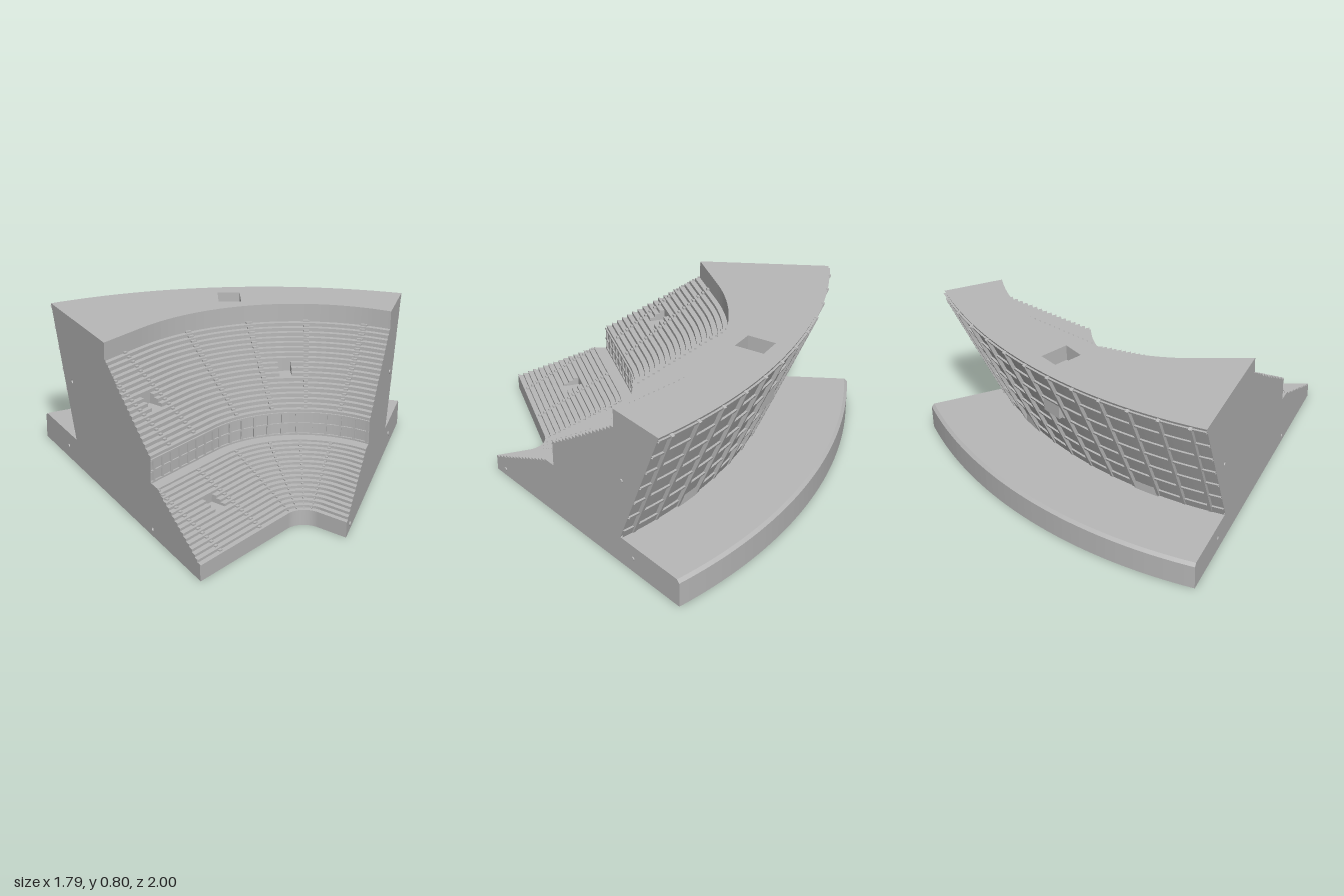
import * as THREE from 'three';

const concrete = new THREE.MeshStandardMaterial({ color: 0xb8b8b8, side: THREE.DoubleSide });
concrete.name = 'concrete grey';

// Plan layout: rows are offsets of a rounded corner, the outside is an arc cut by two end planes
const CX = 0.70, CZ = 0.435, R0 = 0.1;            // rounded corner of the seating
const OX = 0.89, OZ = 1.53;                       // centre of the outer arc
const S0 = -22.5, S1 = 67.5;                      // corner arc in degrees; beyond it 1 step = 0.01 straight
const rad = THREE.MathUtils.degToRad;
const clamp = THREE.MathUtils.clamp;
const endLeft = d => S1 + 100 * (0.905 - 0.541 * (R0 + d)) / 1.307;
function endRight(d) {
  const r = R0 + d, w = OX - CX;
  return r * 0.3827 > w ? -THREE.MathUtils.radToDeg(Math.asin(w / r)) : S0 - 100 * (w - 0.3827 * r) / 0.9239;
}
// Point at row offset d, position s along the row, height y
function point(d, s, y) {
  s = clamp(s, endRight(d), endLeft(d));
  const a = rad(clamp(s, S0, S1)), r = R0 + d, t = (s - clamp(s, S0, S1)) / 100;
  return new THREE.Vector3(CX - r * Math.sin(a) - t * Math.cos(a), y, CZ - r * Math.cos(a) + t * Math.sin(a));
}
const arcPoint = (R, deg, y) => new THREE.Vector3(OX - R * Math.sin(rad(deg)), y, OZ - R * Math.cos(rad(deg)));

// Collects four-sided faces into one mesh
function faces() {
  const pos = [];
  const tri = (...p) => {
    if (new THREE.Triangle(...p).getArea() > 1e-8) p.forEach(v => pos.push(v.x, v.y, v.z));
  };
  return {
    quad(a, b, c, d) { tri(a, b, c); tri(a, c, d); },
    mesh(name) {
      const g = new THREE.BufferGeometry();
      g.setAttribute('position', new THREE.Float32BufferAttribute(pos, 3));
      g.computeVertexNormals();
      return named(g, name);
    },
  };
}
function named(geometry, name) {
  const m = new THREE.Mesh(geometry, concrete);
  m.name = name;
  return m;
}
function columns(extra) {
  const c = [-999, 999];
  for (let s = S0; s <= S1; s += 2.5) c.push(s);
  return c.concat(extra).sort((a, b) => a - b);
}

// A tier of stepped rows with half-step aisles and sunken entrances
function tier(name, o) {
  const f = faces(), step = (o.d1 - o.d0) / o.rows, rise = (o.y1 - o.y0) / (o.rows - 1);
  const cols = columns([...o.aisles.flatMap(a => [a - 0.9, a + 0.9]), ...o.doors.flatMap(v => [v.s - v.w, v.s + v.w])]);
  const height = (i, s) => {
    if (i < 0) return o.base;
    if (i >= o.rows * 2) return o.top;
    const d = o.d0 + (i + 0.5) * step / 2, row = Math.floor(i / 2);
    const v = o.doors.find(v => Math.abs(s - v.s) < v.w && Math.abs(d - v.d) < 0.045);
    if (v) return o.y0 + rise * Math.floor((v.d - 0.045 - o.d0) / step);
    const aisle = i % 2 && o.aisles.some(a => Math.abs(s - a) < 0.9);
    return o.y0 + rise * (row + (aisle ? 0.5 : 0));
  };
  for (let j = 0; j < cols.length - 1; j++) {
    const a = cols[j], b = cols[j + 1], mid = (a + b) / 2;
    for (let i = 0; i <= o.rows * 2; i++) {
      const d = o.d0 + i * step / 2, e = d + step / 2, h = height(i, mid), p = height(i - 1, mid);
      if (h !== p) f.quad(point(d, a, p), point(d, a, h), point(d, b, h), point(d, b, p));
      if (i === o.rows * 2) continue;
      f.quad(point(d, a, h), point(e, a, h), point(e, b, h), point(d, b, h));
      const q = j ? height(i, (cols[j - 1] + a) / 2) : h;
      if (q !== h) f.quad(point(d, a, q), point(e, a, q), point(e, a, h), point(d, a, h));
    }
  }
  return f.mesh(name);
}

// A rail that follows the rows
function rail(name, d0, d1, y0, y1) {
  const f = faces(), cols = columns([]);
  for (let j = 0; j < cols.length - 1; j++) {
    const a = cols[j], b = cols[j + 1];
    [[d0, y0, d0, y1], [d0, y1, d1, y1], [d1, y0, d0, y0]].forEach(([d, y, e, z]) =>
      f.quad(point(d, a, y), point(e, a, z), point(e, b, z), point(d, b, y)));
  }
  return f.mesh(name);
}

// A profile of [radius, height] turned about the outer centre
function sweep(name, profile, from = 0, to = 45) {
  let g = new THREE.LatheGeometry(profile.map(p => new THREE.Vector2(...p)),
    Math.max(2, Math.ceil((to - from) / 1.2)), Math.PI + rad(from), rad(to - from));
  g = g.toNonIndexed();
  g.computeVertexNormals();
  g.translate(OX, 0, OZ);
  return named(g, name);
}

// A flat outline placed by a rule
function sheet(name, shape, place) {
  const g = new THREE.ShapeGeometry(shape, 10), p = g.attributes.position;
  for (let i = 0; i < p.count; i++) p.setXYZ(i, ...place(p.getX(i), p.getY(i)));
  g.computeVertexNormals();
  return named(g, name);
}
function planShape(d, R) {
  const pts = [];
  for (const s of columns([])) pts.push(point(d, s, 0));
  for (let k = 38; k >= 0; k--) pts.push(arcPoint(R, 45 * k / 38, 0));
  return new THREE.Shape(pts.map(p => new THREE.Vector2(p.x, p.z)));
}

export function createModel() {
  const model = new THREE.Group();
  const lower = { d0: 0, d1: 0.39, y0: 0.08, y1: 0.26, rows: 15, base: 0, top: 0.27,
    aisles: [116.5, 87.5, 58, 35, 17, -1], doors: [{ s: 96.5, w: 3.5, d: 0.218 }] };
  const upper = { d0: 0.457, d1: 0.915, y0: 0.405, y1: 0.705, rows: 18, base: 0.27, top: 0.8,
    aisles: [98.5, 80.5, 50.5, 31, 14, -3], doors: [{ s: 22, w: 2.4, d: 0.672 }, { s: 88.5, w: 3.5, d: 0.672 }] };
  model.add(tier('lowerTier', lower), tier('upperTier', upper));
  model.add(rail('tierLedge', 0.39, 0.457, 0.268, 0.27));

  // Framed band between the tiers
  for (const y of [0.27, 0.325, 0.382]) model.add(rail('bandRail', 0.449, 0.457, y, y + 0.009));
  const posts = [];
  for (let s = -19; s < 66; s += 7.5) posts.push(s);
  for (let s = 68.5; s < 114; s += 6.2) posts.push(s);
  for (const s of posts) {
    const post = named(new THREE.BoxGeometry(0.012, 0.12, 0.016), 'bandPost');
    post.position.copy(point(0.457, s, 0.331));
    post.rotation.y = rad(clamp(s, S0, S1));
    model.add(post);
  }

  // Roof with a stair opening, and the underside
  const opening = [[-0.037, -0.59], [0.074, -0.627], [0.122, -0.484], [0.01, -0.452]];
  const roof = planShape(0.915, 2.40);
  roof.holes.push(new THREE.Path(opening.map(p => new THREE.Vector2(...p))));
  model.add(sheet('roof', roof, (x, z) => [x, 0.8, z]));
  model.add(sheet('underside', planShape(0, 2.53), (x, z) => [x, 0, z]));
  const at = (i, y) => new THREE.Vector3(opening[i][0], y, opening[i][1]);
  const pit = faces();
  for (let i = 0; i < 4; i++) {
    const j = (i + 1) % 4;
    pit.quad(at(i, 0.8), at(j, 0.8), at(j, 0.5), at(i, 0.5));
  }
  const midA = at(0, 0.72).lerp(at(3, 0.72), 0.38), midB = at(1, 0.72).lerp(at(2, 0.72), 0.38);
  pit.quad(midA, midB, at(2, 0.72), at(3, 0.72));
  pit.quad(at(0, 0.5), at(1, 0.5), midB, midA);
  model.add(pit.mesh('stairOpening'));

  // Leaning back wall and plinth
  const back = [[2.53, 0], [2.53, 0.125], [2.515, 0.14], [2.12, 0.14], [2.40, 0.8]];
  model.add(sweep('backWall', back.slice(3)), sweep('plinth', back.slice(0, 4)));
  const lean = y => 2.12 + 0.28 * (y - 0.14) / 0.66;
  const bar = (y0, y1, t) => [[lean(y0), y0], [lean(y0) + t, y0], [lean(y1) + t, y1], [lean(y1), y1], [lean(y0), y0]];
  for (let k = 0; k < 6; k++) model.add(sweep('wallRail', bar(0.275 + 0.1 * k, 0.287 + 0.1 * k, 0.012)));

  // Ribs, with two doorways in the footing
  const ribAngle = k => 1.7 + 3.77 * k;
  for (let k = 0; k < 12; k++) {
    const pivot = new THREE.Group();
    pivot.name = 'wallRib';
    pivot.position.set(OX, 0, OZ);
    pivot.rotation.y = Math.PI + rad(ribAngle(k));
    const rib = named(new THREE.BoxGeometry(0.016, 0.69, 0.036), 'rib');
    rib.position.set(0, 0.475, lean(0.475));
    rib.rotation.x = Math.atan(0.28 / 0.66);
    pivot.add(rib);
    model.add(pivot);
  }
  const gaps = [2, 8].map(k => [ribAngle(k), ribAngle(k + 1)]);
  const stops = [0, ...gaps.flat(), 45];
  for (let i = 0; i < stops.length; i += 2) model.add(sweep('wallFooting', bar(0.145, 0.19, 0.012), stops[i], stops[i + 1]));
  for (const [a, b] of gaps) model.add(sweep('doorway', [[2.139, 0.14], [2.139, 0.185]], a, b));

  // End walls follow the stepped section
  const section = [[0, 0]];
  for (const o of [lower, upper]) {
    const w = (o.d1 - o.d0) / o.rows;
    if (o === upper) section.push([0.39, 0.27], [0.457, 0.27]);
    for (let i = 0; i < o.rows; i++) {
      const y = o.y0 + (o.y1 - o.y0) * i / (o.rows - 1);
      section.push([o.d0 + i * w, y], [o.d0 + (i + 1) * w, y]);
    }
  }
  section.push([0.915, 0.8]);
  const endShape = (s, deg) => new THREE.Shape([
    ...section.map(([d, y]) => point(d, s, y)),
    ...back.slice().reverse().map(([R, y]) => arcPoint(R, deg, y)),
  ].map(p => new THREE.Vector2(p.z, p.y)));
  const leftOutline = endShape(999, 45);
  const sockets = [[0.01, 0.455], [-0.04, 0.07], [0.66, 0.037]];
  for (const [z, y] of sockets) {
    const hole = new THREE.Path();
    hole.absellipse(z, y, 0.007, 0.01, 0, Math.PI * 2, true);
    leftOutline.holes.push(hole);
    const socket = named(new THREE.CylinderGeometry(0.01, 0.01, 0.03, 16, 1, true), 'socket');
    socket.geometry.rotateX(Math.PI / 2);
    socket.rotation.y = Math.PI * 3 / 4;
    socket.position.set(z - 0.64 + 0.0106, y, z - 0.0106);
    model.add(socket);
  }
  model.add(sheet('angledEndWall', leftOutline, (z, y) => [z - 0.64, y, z]));
  model.add(sheet('straightEndWall', endShape(-999, 0), (z, y) => [OX, y, z]));
  for (const [z, y] of [[-0.61, 0.455], [-0.68, 0.073], [0.33, 0.037]]) {
    const peg = named(new THREE.CylinderGeometry(0.01, 0.01, 0.012, 16), 'peg');
    peg.rotation.z = Math.PI / 2;
    peg.position.set(OX, y, z);
    model.add(peg);
  }
  return model;
}
